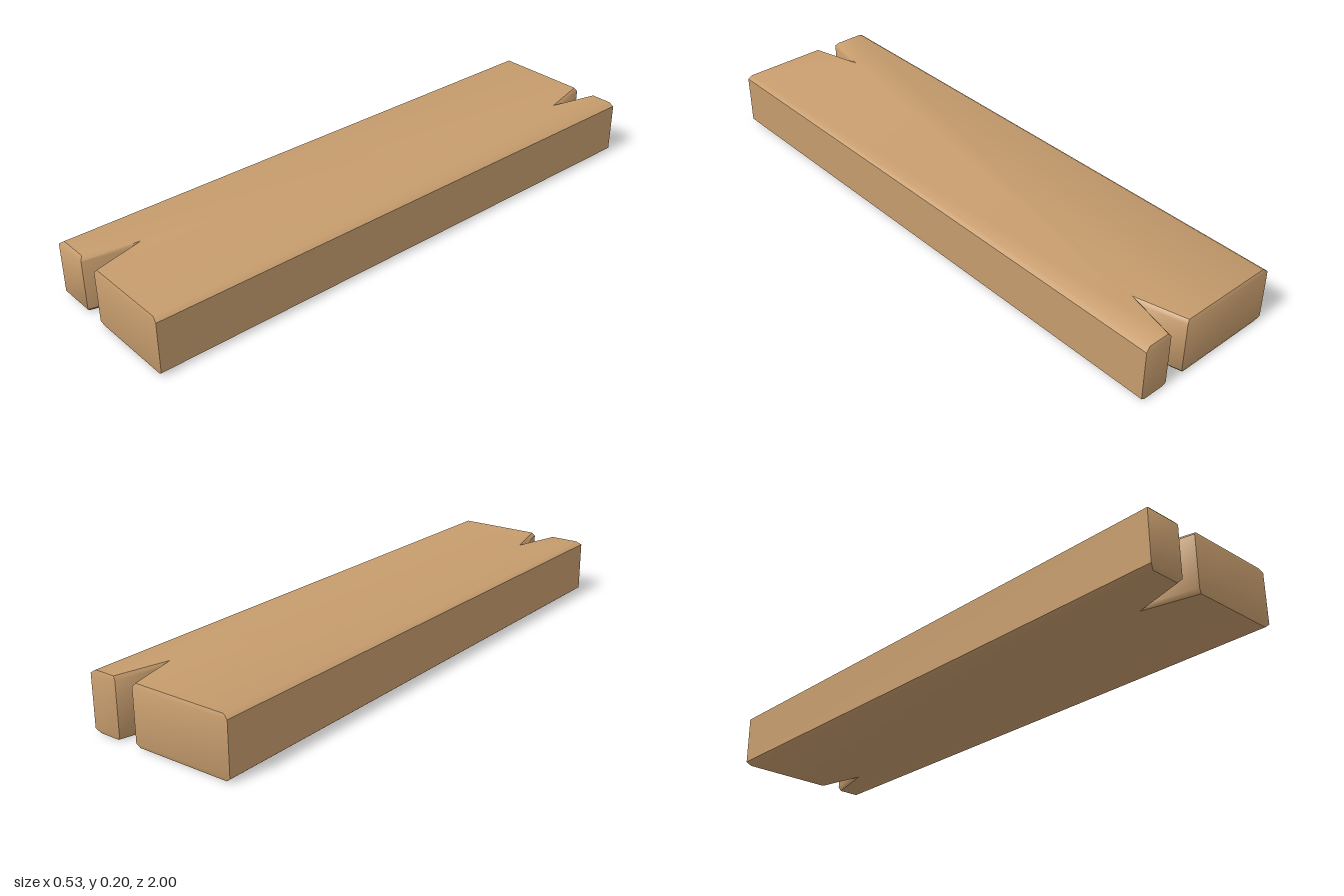
import * as THREE from 'three';
import { toCreasedNormals } from 'three/addons/utils/BufferGeometryUtils.js';

// Full plan outline [x, z], counter-clockwise seen from above, with a V split at each end
const FULL = [
  [-0.267, 1], [-0.135, 1], [-0.098, 0.845], [-0.061, 1], [0.267, 1],
  [0.267, -1], [0.165, -1], [0.13, -0.86], [0.095, -1], [-0.267, -1],
];
// Chamfered outline at the top and bottom faces
const INSET = [
  [-0.25, 0.99], [-0.146, 0.99], [-0.098, 0.815], [-0.05, 0.996], [0.25, 0.996],
  [0.25, -0.996], [0.174, -0.996], [0.13, -0.82], [0.085, -0.995], [-0.25, -0.995],
];

function plankGeometry() {
  const rings = [[INSET, 0], [FULL, 0.013], [FULL, 0.188], [INSET, 0.2]]
    .map(([outline, y]) => outline.map(([x, z]) => [x, y, z]));
  const n = FULL.length;
  const pos = [];
  const tri = (a, b, c) => pos.push(...a, ...b, ...c);

  // walls and chamfers
  for (let r = 0; r < rings.length - 1; r++) {
    const lo = rings[r], hi = rings[r + 1];
    for (let i = 0; i < n; i++) {
      const j = (i + 1) % n;
      tri(lo[i], lo[j], hi[j]);
      tri(lo[i], hi[j], hi[i]);
    }
  }
  // top and bottom faces
  const flat = INSET.map(([x, z]) => new THREE.Vector2(x, -z));
  const bottom = rings[0], top = rings[3];
  for (const [a, b, c] of THREE.ShapeUtils.triangulateShape(flat, [])) {
    tri(top[a], top[b], top[c]);
    tri(bottom[a], bottom[c], bottom[b]);
  }

  const geo = new THREE.BufferGeometry();
  geo.setAttribute('position', new THREE.Float32BufferAttribute(pos, 3));
  return toCreasedNormals(geo, 0.74);
}

export function createModel() {
  const group = new THREE.Group();
  group.name = 'woodenPlank';
  const wood = new THREE.MeshStandardMaterial({ color: 0xc69c6d });
  wood.name = 'wood';
  const plank = new THREE.Mesh(plankGeometry(), wood);
  plank.name = 'plank';
  group.add(plank);
  return group;
}
